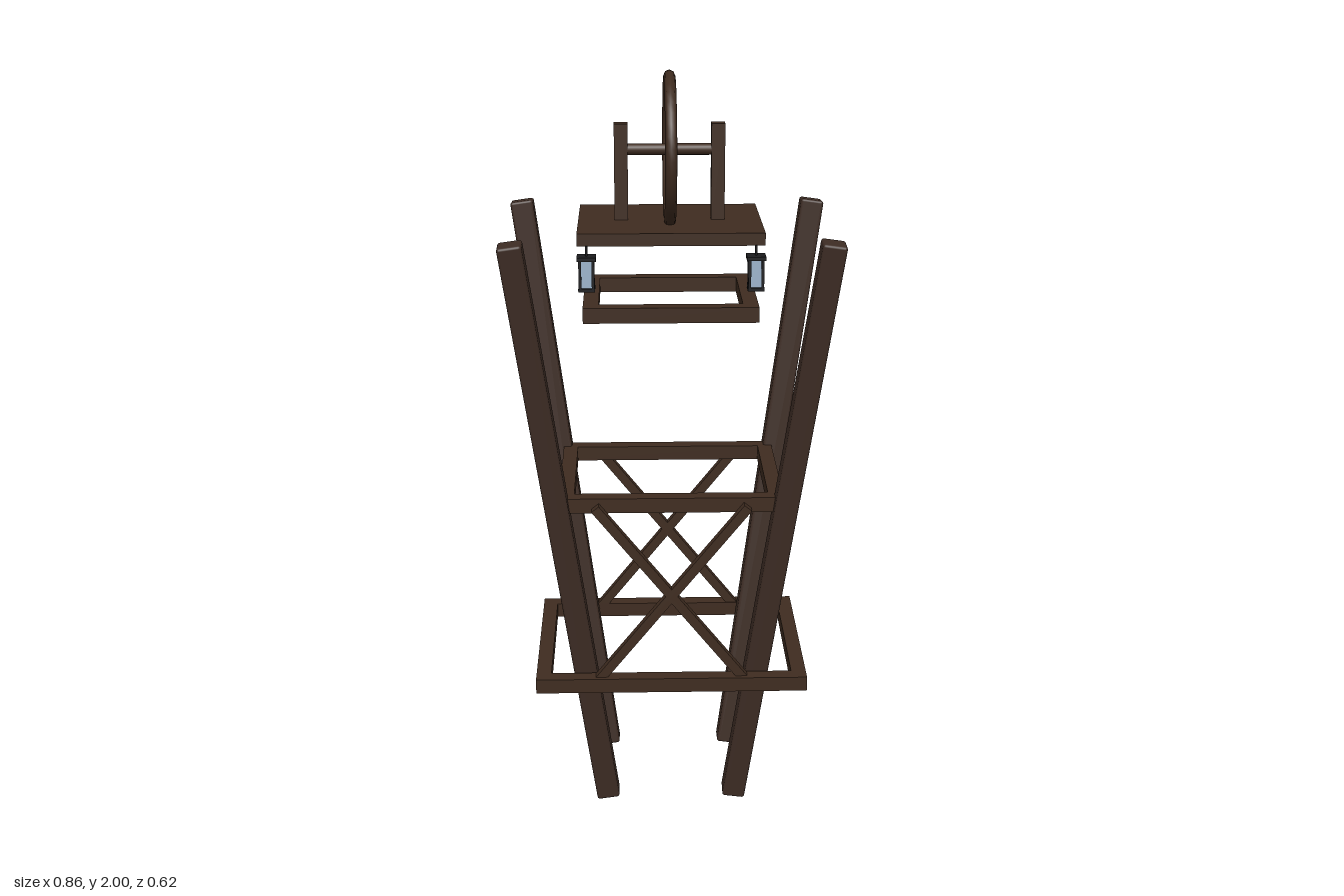
import * as THREE from 'three';
import { RoundedBoxGeometry } from 'three/addons/geometries/RoundedBoxGeometry.js';

const material = (name, color) => {
  const m = new THREE.MeshStandardMaterial({ color });
  m.name = name;
  return m;
};

export function createModel() {
  const legWood = material('leg wood', 0x3d2c24);
  const beamWood = material('beam wood', 0x3f2c20);
  const iron = material('lantern iron', 0x1c1c1e);
  const glass = material('lantern glass', 0x9db4cc);
  const UP = new THREE.Vector3(0, 1, 0);

  const group = (name, parent) => {
    const g = new THREE.Group();
    g.name = name;
    if (parent) parent.add(g);
    return g;
  };
  const add = (parent, name, geometry, mat, x = 0, y = 0, z = 0) => {
    const mesh = new THREE.Mesh(geometry, mat);
    mesh.name = name;
    mesh.position.set(x, y, z);
    parent.add(mesh);
    return mesh;
  };
  const box = (parent, name, mat, w, h, d, x, y, z) =>
    add(parent, name, new THREE.BoxGeometry(w, h, d), mat, x, y, z);

  const tower = group('wheelTower');

  // Four splayed legs with softened edges
  const legs = group('legs', tower);
  for (const sx of [-1, 1]) for (const sz of [-1, 1]) {
    const foot = new THREE.Vector3(sx * 0.175, 0.007, sz * 0.15);
    const head = new THREE.Vector3(sx * 0.4, 1.615, sz * 0.278);
    const axis = head.clone().sub(foot);
    const leg = add(legs, 'leg', new RoundedBoxGeometry(0.062, axis.length(), 0.062, 2, 0.007), legWood);
    leg.position.copy(foot).add(head).multiplyScalar(0.5);
    leg.quaternion.setFromUnitVectors(UP, axis.normalize());
  }

  // Rectangular frames of horizontal beams: name, height, outer half width, outer half depth
  const T = 0.04;
  for (const [name, y, hx, hz] of [
    ['lowerFrame', 0.4, 0.365, 0.263],
    ['middleFrame', 0.905, 0.295, 0.225],
    ['upperFrame', 1.407, 0.225, 0.183],
  ]) {
    const frame = group(name, tower);
    for (const s of [-1, 1]) {
      box(frame, 'longBeam', beamWood, 2 * hx, T, T, 0, y, s * (hz - T / 2));
      box(frame, 'sideBeam', beamWood, T, T, 2 * (hz - T), s * (hx - T / 2), y, 0);
    }
  }

  // Crossed braces on the front and back
  const braces = group('crossBraces', tower);
  for (const sz of [-1, 1]) for (const s of [-1, 1]) {
    const brace = box(braces, 'brace', beamWood, 0.025, Math.hypot(0.4, 0.5), 0.025, 0, 0.655, sz * 0.238);
    brace.rotation.z = s * Math.atan2(0.4, 0.5);
  }

  // Platform, wheel posts and axle
  box(tower, 'platform', beamWood, 0.474, 0.032, 0.374, 0, 1.604, 0);
  for (const s of [-1, 1])
    box(tower, 'wheelPost', beamWood, 0.035, 0.25, 0.035, s * 0.125, 1.742, 0);
  add(tower, 'axle', new THREE.CylinderGeometry(0.015, 0.015, 0.25, 12), beamWood, 0, 1.8, 0).rotation.z = Math.PI / 2;

  // Wheel standing across the axle, with three full-width spokes
  const wheel = group('wheel', tower);
  wheel.position.y = 1.8;
  add(wheel, 'rim', new THREE.TorusGeometry(0.185, 0.015, 8, 40), beamWood).rotation.y = Math.PI / 2;
  for (let i = 0; i < 3; i++)
    add(wheel, 'spoke', new THREE.CylinderGeometry(0.007, 0.007, 0.37, 8), beamWood).rotation.x = i * Math.PI / 3;

  // Two lanterns hung at the front corners of the platform
  for (const s of [-1, 1]) {
    const lantern = group('lantern', tower);
    lantern.position.set(s * 0.213, 1.522, 0.196);
    box(lantern, 'cap', iron, 0.048, 0.01, 0.048, 0, 0.039, 0);
    box(lantern, 'base', iron, 0.042, 0.008, 0.042, 0, -0.04, 0);
    box(lantern, 'pane', glass, 0.03, 0.072, 0.03, 0, -0.001, 0);
    for (const px of [-1, 1]) for (const pz of [-1, 1])
      box(lantern, 'cornerPost', iron, 0.007, 0.072, 0.007, px * 0.0165, -0.001, pz * 0.0165);
    add(lantern, 'hanger', new THREE.CylinderGeometry(0.003, 0.003, 0.026, 8), iron, 0, 0.056, 0);
  }

  return tower;
}
